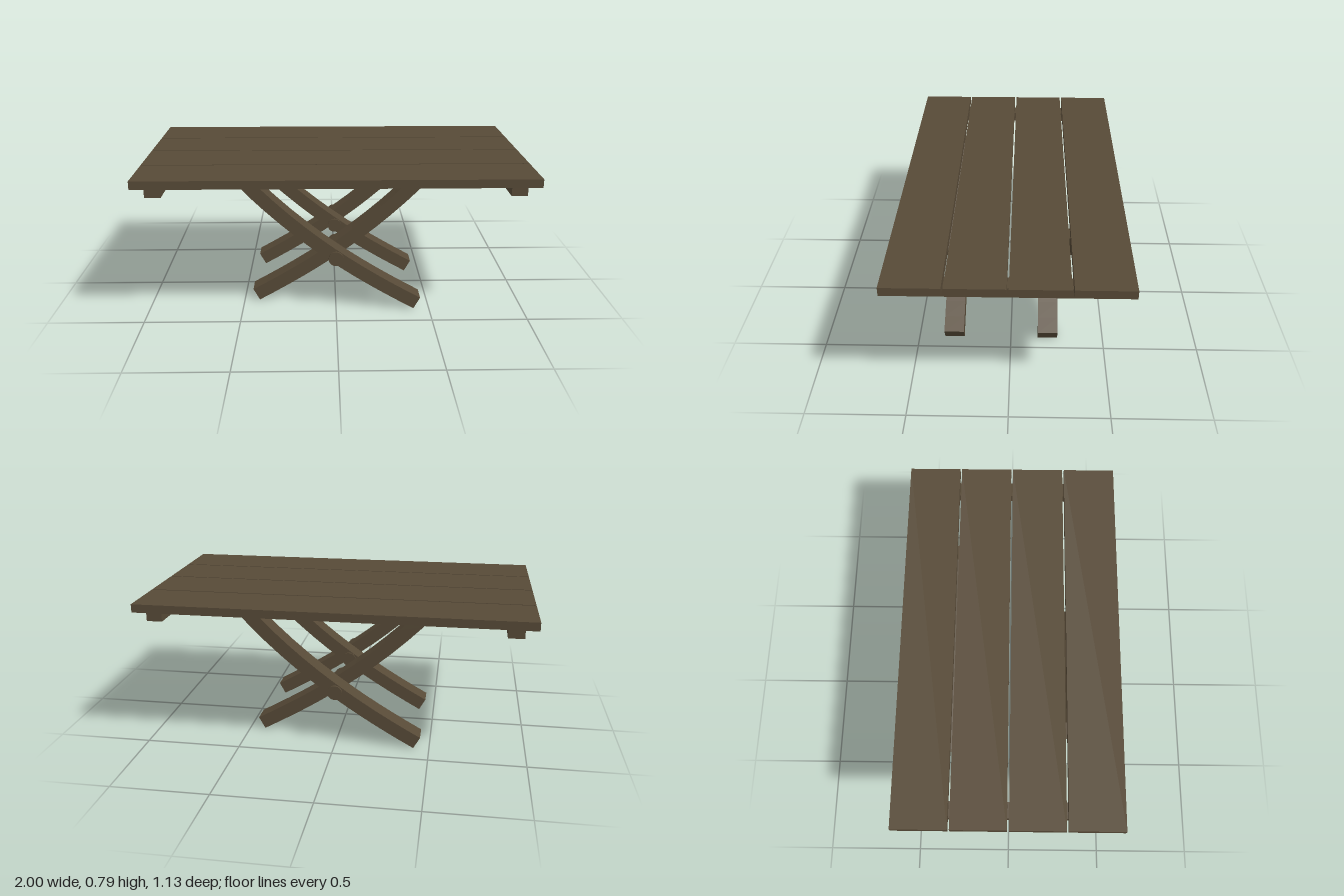
import * as THREE from 'three';

const TOP_UNDERSIDE = 0.745;
const PIVOT_Y = 0.3;

export function createModel() {
  const table = new THREE.Group();
  table.name = 'picnicTable';
  const wood = new THREE.MeshStandardMaterial({ color: 0x574a37 });
  wood.name = 'darkWood';

  function add(name, geometry, x, y, z) {
    const mesh = new THREE.Mesh(geometry, wood);
    mesh.name = name;
    mesh.position.set(x, y, z);
    table.add(mesh);
    return mesh;
  }

  // Four table top planks with narrow gaps
  for (let i = 0; i < 4; i++) {
    add('topPlank', new THREE.BoxGeometry(2, 0.043, 0.276), 0, TOP_UNDERSIDE + 0.0215, (i - 1.5) * 0.2855);
  }

  // Cross battens under both ends
  for (const side of [-1, 1]) {
    add('batten', new THREE.BoxGeometry(0.08, 0.051, 1.072), side * 0.896, 0.7195, 0);
  }

  // Curved leg outline: foot at -x, top cut level under the planks
  const spine = new THREE.CubicBezierCurve(
    new THREE.Vector2(-0.4345, 0.033), new THREE.Vector2(-0.123, 0.205),
    new THREE.Vector2(0.188, 0.406), new THREE.Vector2(0.4975, TOP_UNDERSIDE));
  function legGeometry(mirror) {
    const upper = [], lower = [];
    const steps = 12, half = 0.0355;
    for (let i = 0; i < steps; i++) {
      const t = i / steps;
      const p = spine.getPoint(t), d = spine.getTangent(t);
      upper.push(new THREE.Vector2(mirror * (p.x - d.y * half), p.y + d.x * half));
      lower.push(new THREE.Vector2(mirror * (p.x + d.y * half), Math.max(0, p.y - d.x * half)));
    }
    upper.push(new THREE.Vector2(mirror * 0.455, TOP_UNDERSIDE));
    lower.push(new THREE.Vector2(mirror * 0.54, TOP_UNDERSIDE));
    const shape = new THREE.Shape([...lower, ...upper.reverse()]);
    return new THREE.ExtrudeGeometry(shape, { depth: 0.106, bevelEnabled: false });
  }

  // Pivot bolt: shank with a flat head at each end
  const boltProfile = [
    [0, -0.136], [0.039, -0.136], [0.039, -0.126], [0.031, -0.126],
    [0.031, 0.126], [0.039, 0.126], [0.039, 0.136], [0, 0.136],
  ].map(([r, y]) => new THREE.Vector2(r, y));
  const boltGeometry = new THREE.LatheGeometry(boltProfile, 24).toNonIndexed();
  boltGeometry.computeVertexNormals();
  boltGeometry.rotateX(Math.PI / 2);

  // Two crossed leg pairs, each with its bolt
  const legs = [[0.254, -1], [0.131, 1], [-0.253, -1], [-0.377, 1]];
  for (const [z, mirror] of legs) add('crossedLeg', legGeometry(mirror), 0, 0, z);
  for (const z of [0.245, -0.262]) add('pivotBolt', boltGeometry, 0, PIVOT_Y, z);

  return table;
}
